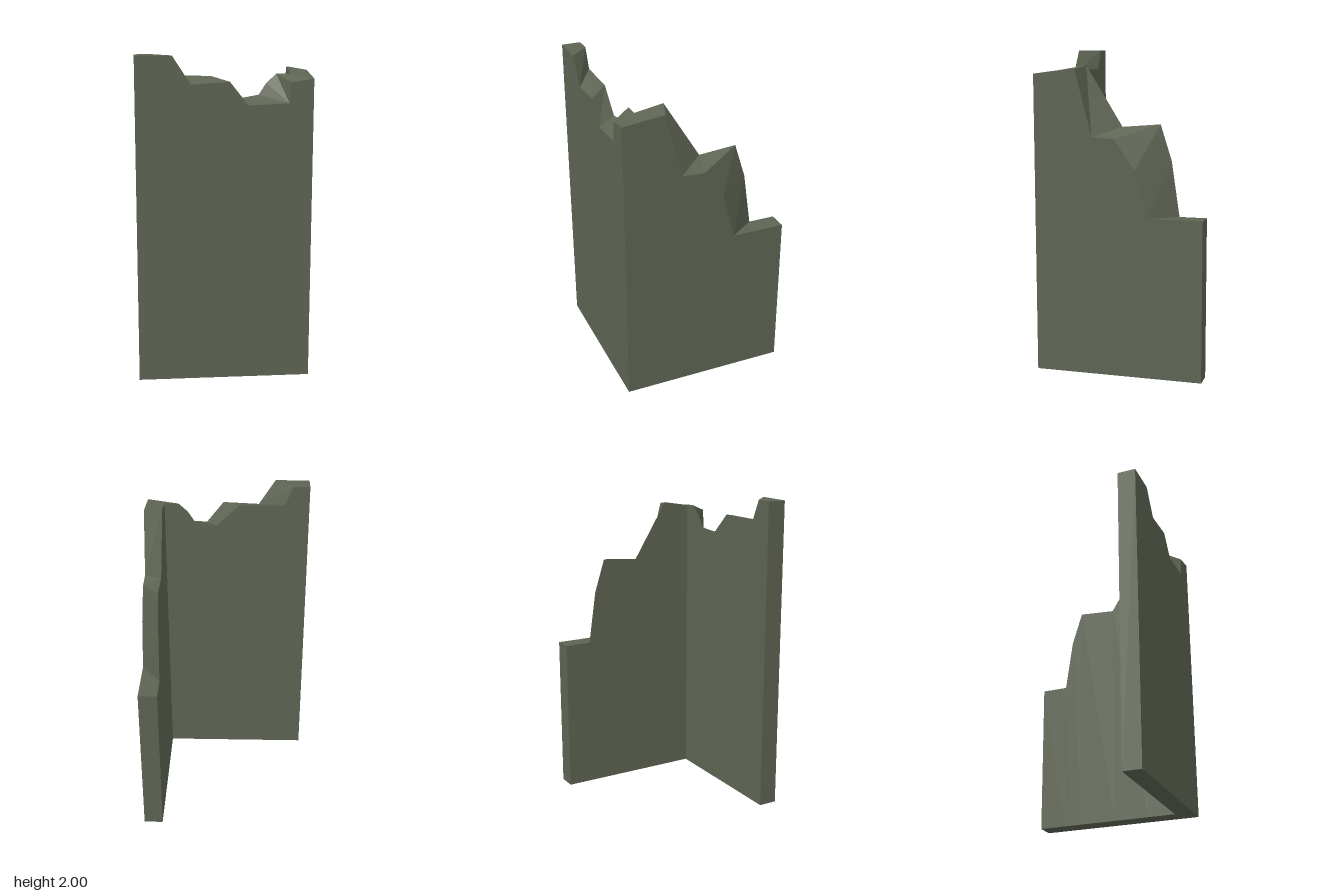
import * as THREE from 'three';

const OUT = 0.53, IN = 0.41;   // outer and inner wall planes

// Break line stations: [outer position, outer height, inner position, inner height]
const frontBreak = [
  [-0.53, 2, -0.53, 2],
  [-0.31, 2, -0.425, 2],
  [-0.2, 1.83, -0.37, 1.875],
  [0.03, 1.845, -0.075, 1.87],
  [0.14, 1.705, 0.07, 1.73],
  [0.385, 1.715, 0.215, 1.755],
  [0.385, 1.715, 0.26, 1.825],
  [0.385, 1.715, 0.32, 1.88],
  [0.395, 1.84, 0.32, 1.88],
  [OUT, 1.86, IN, 1.88],
];
const sideBreak = [
  [OUT, 1.86, IN, 1.88],
  [0.265, 1.89, 0.23, 1.91],
  [0.16, 1.485, 0, 1.54],
  [0.02, 1.475, -0.24, 1.56],
  [-0.11, 1.29, -0.31, 1.34],
  [-0.19, 1, -0.36, 1],
  [-0.53, 1, -0.53, 1],
];

// Lofts a wall through its stations; place(along, y, plane) gives a corner.
function makeWall(name, stations, place, material, capStart, capEnd) {
  const pos = [];
  const tri = (...pts) => pts.forEach((p) => pos.push(...p));
  const quad = (a, b, c, d) => { tri(a, b, d); tri(b, c, d); };
  const rings = stations.map(([o, oy, i, iy]) => [
    place(o, 0, OUT), place(o, oy, OUT), place(i, iy, IN), place(i, 0, IN),
  ]);
  for (let s = 0; s < rings.length - 1; s++) {
    const a = rings[s], b = rings[s + 1];
    for (let k = 0; k < 4; k++) {
      const n = (k + 1) % 4;
      quad(a[k], b[k], b[n], a[n]);
    }
  }
  if (capStart) quad(...rings[0]);
  if (capEnd) quad(...rings[rings.length - 1].slice().reverse());

  const geometry = new THREE.BufferGeometry();
  geometry.setAttribute('position', new THREE.Float32BufferAttribute(pos, 3));
  geometry.computeVertexNormals();
  const mesh = new THREE.Mesh(geometry, material);
  mesh.name = name;
  return mesh;
}

export function createModel() {
  const group = new THREE.Group();
  group.name = 'ruinedCornerWall';
  const stone = new THREE.MeshStandardMaterial({ color: 0x5e6553 });
  stone.name = 'mossy grey stone';

  // The two walls meet on a mitre, so only their free ends are capped.
  group.add(makeWall('frontWall', frontBreak, (t, y, w) => [t, y, w], stone, true, false));
  group.add(makeWall('leftWall', sideBreak, (t, y, w) => [w, y, t], stone, false, true));
  return group;
}
